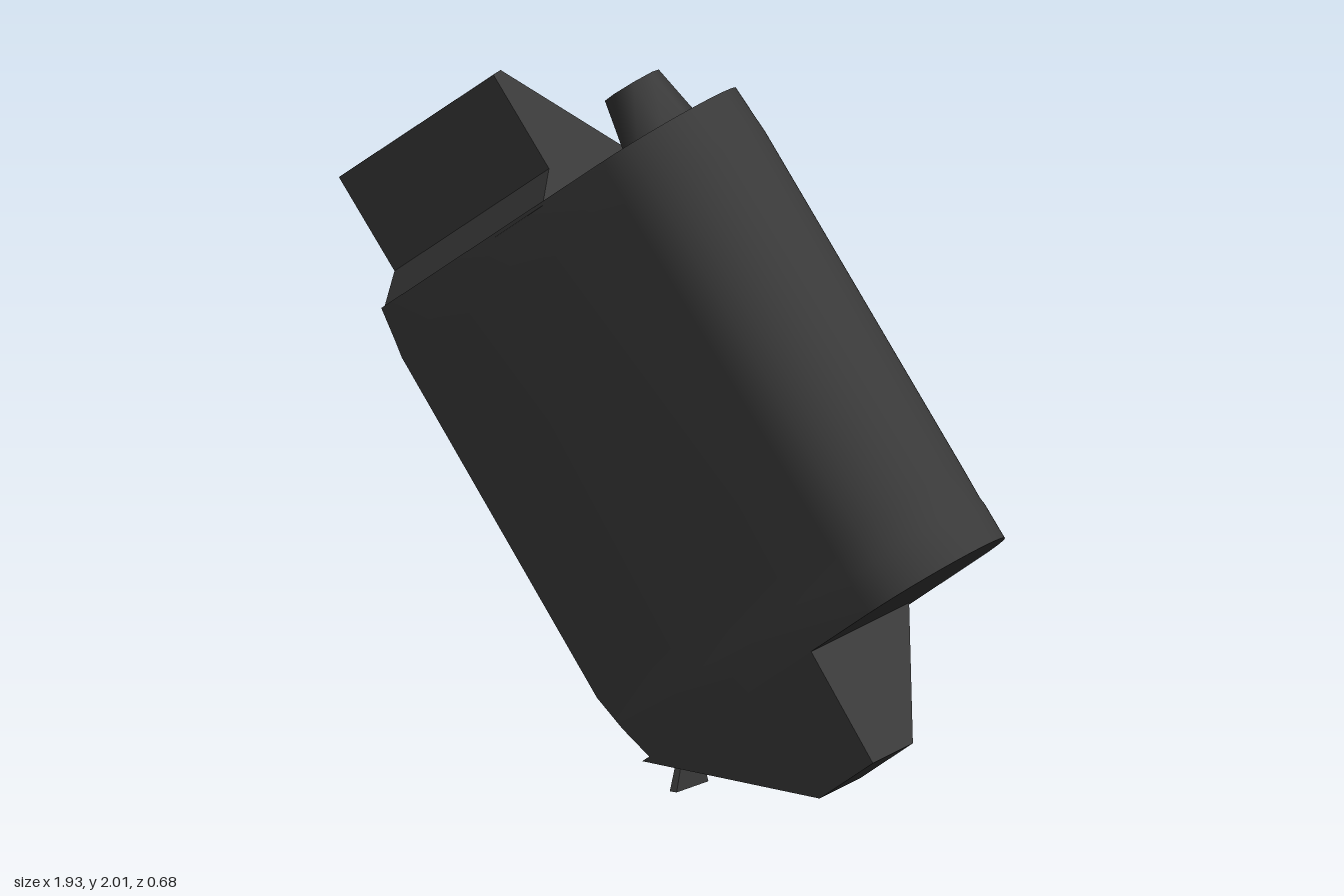
import * as THREE from 'three';
import { toCreasedNormals } from 'three/addons/utils/BufferGeometryUtils.js';

const material = new THREE.MeshStandardMaterial({ color: 0x3a3a3a });

function addMesh(parent, name, geometry, position = [0, 0, 0]) {
  const mesh = new THREE.Mesh(geometry, material);
  mesh.name = name;
  mesh.position.set(...position);
  parent.add(mesh);
  return mesh;
}

// Move every vertex by a rule, then recompute creased normals
function reshape(geometry, rule, crease = 0.6) {
  const p = geometry.attributes.position;
  const v = new THREE.Vector3();
  for (let i = 0; i < p.count; i++) {
    v.fromBufferAttribute(p, i);
    p.setXYZ(i, ...rule(v));
  }
  return toCreasedNormals(geometry, crease);
}

// Tapered block along y: each end is [y, x0, x1, z0, z1]
function taperY(low, high) {
  return reshape(new THREE.BoxGeometry(1, 1, 1), (v) => {
    const e = v.y < 0 ? low : high;
    return [v.x < 0 ? e[1] : e[2], e[0], v.z < 0 ? e[3] : e[4]];
  }, 0.2);
}

// Tapered block along z: each end is [z, x0, x1, y0, y1]
function taperZ(back, front) {
  return reshape(new THREE.BoxGeometry(1, 1, 1), (v) => {
    const e = v.z < 0 ? back : front;
    return [v.x < 0 ? e[1] : e[2], v.y < 0 ? e[3] : e[4], e[0]];
  }, 0.2);
}

// Tapered block along x: each end is [x, y0, y1, z0, z1]
function taperX(left, right) {
  return reshape(new THREE.BoxGeometry(1, 1, 1), (v) => {
    const e = v.x < 0 ? left : right;
    return [e[0], v.y < 0 ? e[1] : e[2], v.z < 0 ? e[3] : e[4]];
  }, 0.2);
}

// Slab with one half-round side, with its flat side drawn in near both ends
function bodyGeometry() {
  const cx = 1.025, cz = -0.068, r = 0.25;
  const shape = new THREE.Shape();
  shape.moveTo(0, -cz - r);
  shape.lineTo(cx, -cz - r);
  shape.absarc(cx, -cz, r, -Math.PI / 2, Math.PI / 2, false);
  shape.lineTo(0.02, -cz + r);
  shape.lineTo(0, -cz + r - 0.02);
  // Levels: height, flat side position, scale of the round side
  const levels = [
    [0.135, 0.13, 1], [0.24, 0.098, 1], [0.26, 0.094, 0.99], [0.345, 0.077, 0.995],
    [1.376, 0.096, 1.01], [1.42, 0.105, 1], [1.515, 0.122, 0.98],
  ];
  const steps = levels.length - 1;
  const g = new THREE.ExtrudeGeometry(shape, {
    depth: 1, steps, bevelEnabled: false, curveSegments: 8,
  });
  g.rotateX(-Math.PI / 2);
  return reshape(g, (v) => {
    const [y, left, s] = levels[Math.round(v.y * steps)];
    if (v.x < 0.5) return [v.x + left, y, v.z];
    return [cx + (v.x - cx) * s, y, cz + (v.z - cz) * s];
  }, 0.6);
}

// Wedge block standing on top of the body
function topBlockGeometry() {
  const profile = [[-0.18, 1.505], [-0.08, 1.585], [-0.08, 1.872], [-0.045, 1.875], [0.265, 1.505]];
  const shape = new THREE.Shape(profile.map(([x, y]) => new THREE.Vector2(x, y)));
  const g = new THREE.ExtrudeGeometry(shape, { depth: 0.635, bevelEnabled: false });
  g.rotateY(Math.PI / 2);
  // profile x now runs towards -z, depth runs along +x
  return reshape(g, (v) => [v.x + 0.14 - (v.y < 1.55 && v.x < 0.1 ? 0.02 : 0), v.y, v.z], 0.2);
}

export function createModel() {
  const root = new THREE.Group();
  root.name = 'handheldDevice';

  const device = new THREE.Group();
  device.name = 'tiltedDevice';
  device.rotation.set(0.087, 0, THREE.MathUtils.degToRad(35));
  device.position.y = 0.012;
  root.add(device);

  addMesh(device, 'body', bodyGeometry());
  addMesh(device, 'topBlock', topBlockGeometry());

  // Eight-sided plug on the round end
  addMesh(device, 'topKnob',
    toCreasedNormals(new THREE.CylinderGeometry(0.082, 0.112, 0.16, 8), 0.9), [1.035, 1.58, -0.075]);

  // Slanted hood under the body
  addMesh(device, 'bottomHood', taperY(
    [-0.2, 0.558, 0.777, 0, 0.182],
    [0.14, 0.1, 0.79, -0.268, 0.182]));

  // Raised panel on the back
  addMesh(device, 'backPanel', taperZ(
    [-0.365, 0.092, 0.73, 0.22, 1.41],
    [-0.3, 0.1, 0.87, 0.15, 1.49]));

  // Rail and lug on the flat side
  addMesh(device, 'sideRail', taperX(
    [0.07, 0.36, 1.25, -0.22, -0.04],
    [0.13, 0.28, 1.36, -0.27, 0.0]));
  addMesh(device, 'sideLug', taperX(
    [0.06, 1.255, 1.38, -0.2, -0.06],
    [0.13, 1.24, 1.4, -0.22, -0.04]));

  // Hanging charm: two beads and a thin flared tassel
  const charm = new THREE.Group();
  charm.name = 'charm';
  charm.position.set(-0.12, 0, -0.187);
  root.add(charm);
  addMesh(charm, 'upperBead', new THREE.OctahedronGeometry(0.042), [-0.005, 0.31, 0]);
  addMesh(charm, 'lowerBead', new THREE.OctahedronGeometry(0.044), [0, 0.222, 0]);
  addMesh(charm, 'tassel', taperY(
    [0, -0.011, 0.011, -0.072, 0.072],
    [0.2, -0.005, 0.005, -0.005, 0.005]));

  return root;
}
